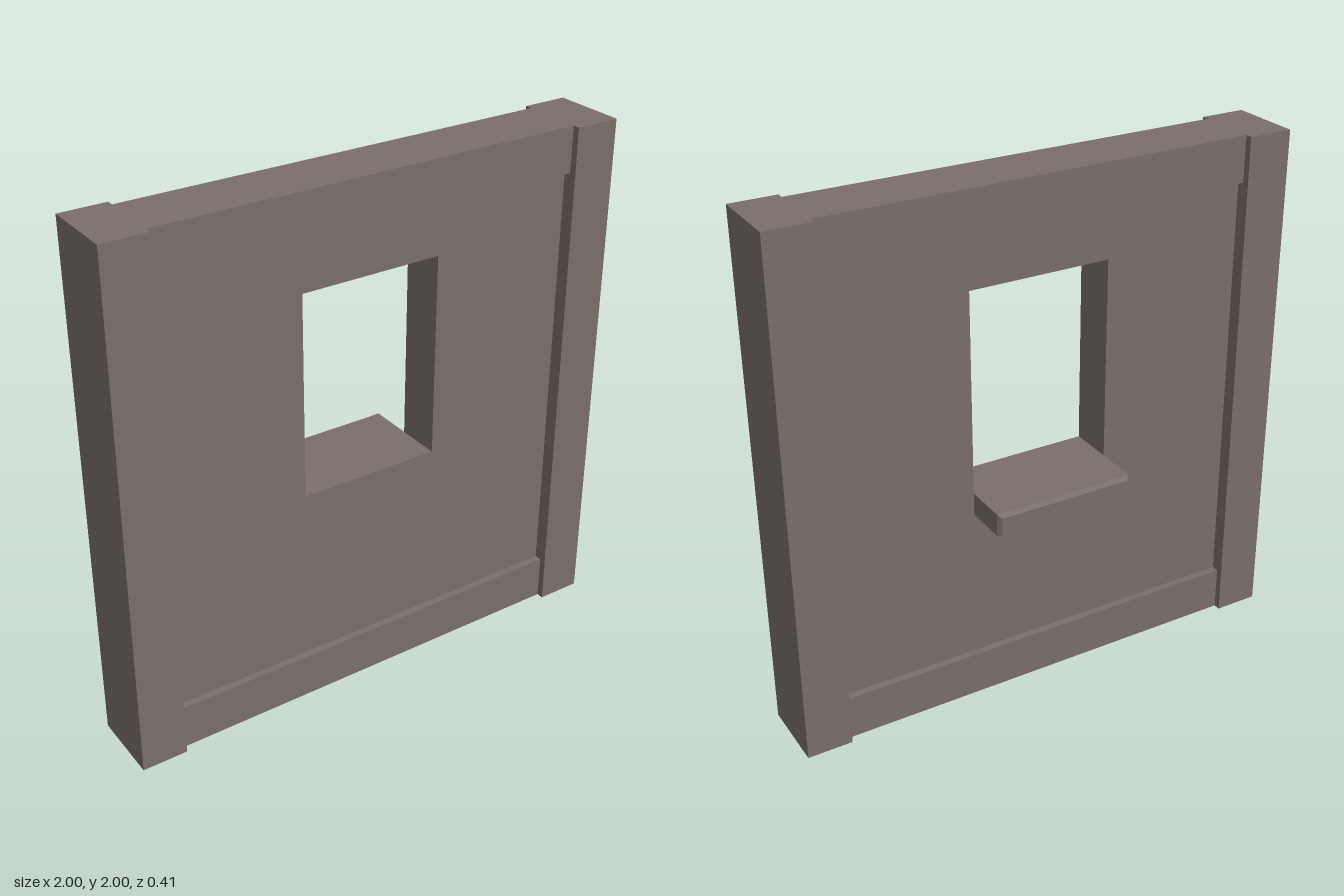
import * as THREE from 'three';
import { ConvexGeometry } from 'three/addons/geometries/ConvexGeometry.js';

export function createModel() {
  const group = new THREE.Group();
  const stone = new THREE.MeshStandardMaterial({ color: 0x7a6f69 });
  stone.name = 'stone';

  const midZ = 0.063; // middle plane of the wall
  const add = (name, geometry) => {
    const mesh = new THREE.Mesh(geometry, stone);
    mesh.name = name;
    group.add(mesh);
    return mesh;
  };
  const box = (name, w, h, d, x, y) =>
    add(name, new THREE.BoxGeometry(w, h, d)).position.set(x, y, midZ);

  // Side posts, the thickest parts
  box('leftPost', 0.174, 2, 0.284, 0.913, 1);
  box('rightPost', 0.174, 2, 0.284, -0.913, 1);

  // Beams between the posts
  box('topBeam', 1.652, 0.174, 0.23, 0, 1.913);
  box('bottomBeam', 1.652, 0.174, 0.23, 0, 0.087);

  // Recessed panel with the window opening
  const rect = (path, x, y0, y1) =>
    path.moveTo(-x, y0).lineTo(x, y0).lineTo(x, y1).lineTo(-x, y1).closePath();
  const outline = new THREE.Shape();
  rect(outline, 0.826, 0.174, 1.826);
  const opening = new THREE.Path();
  rect(opening, 0.275, 0.855, 1.635);
  outline.holes.push(opening);
  const depth = 0.174;
  const panel = new THREE.ExtrudeGeometry(outline, { depth, bevelEnabled: false });
  panel.translate(0, 0, midZ - depth / 2);
  add('wallPanel', panel);

  // Window sill at the back, with bevelled outer corners and top edge
  const w = 0.275, c = 0.014, top = 0.855, bottom = 0.768;
  const wallZ = midZ - depth / 2, outerZ = -0.206;
  const points = [];
  for (const s of [-1, 1]) {
    for (const y of [bottom, top]) {
      points.push(new THREE.Vector3(s * w, y, wallZ));
      points.push(new THREE.Vector3(s * w, y, outerZ + c));
    }
    for (const y of [bottom, top - c]) points.push(new THREE.Vector3(s * (w - c), y, outerZ));
  }
  add('windowSill', new ConvexGeometry(points));

  return group;
}
